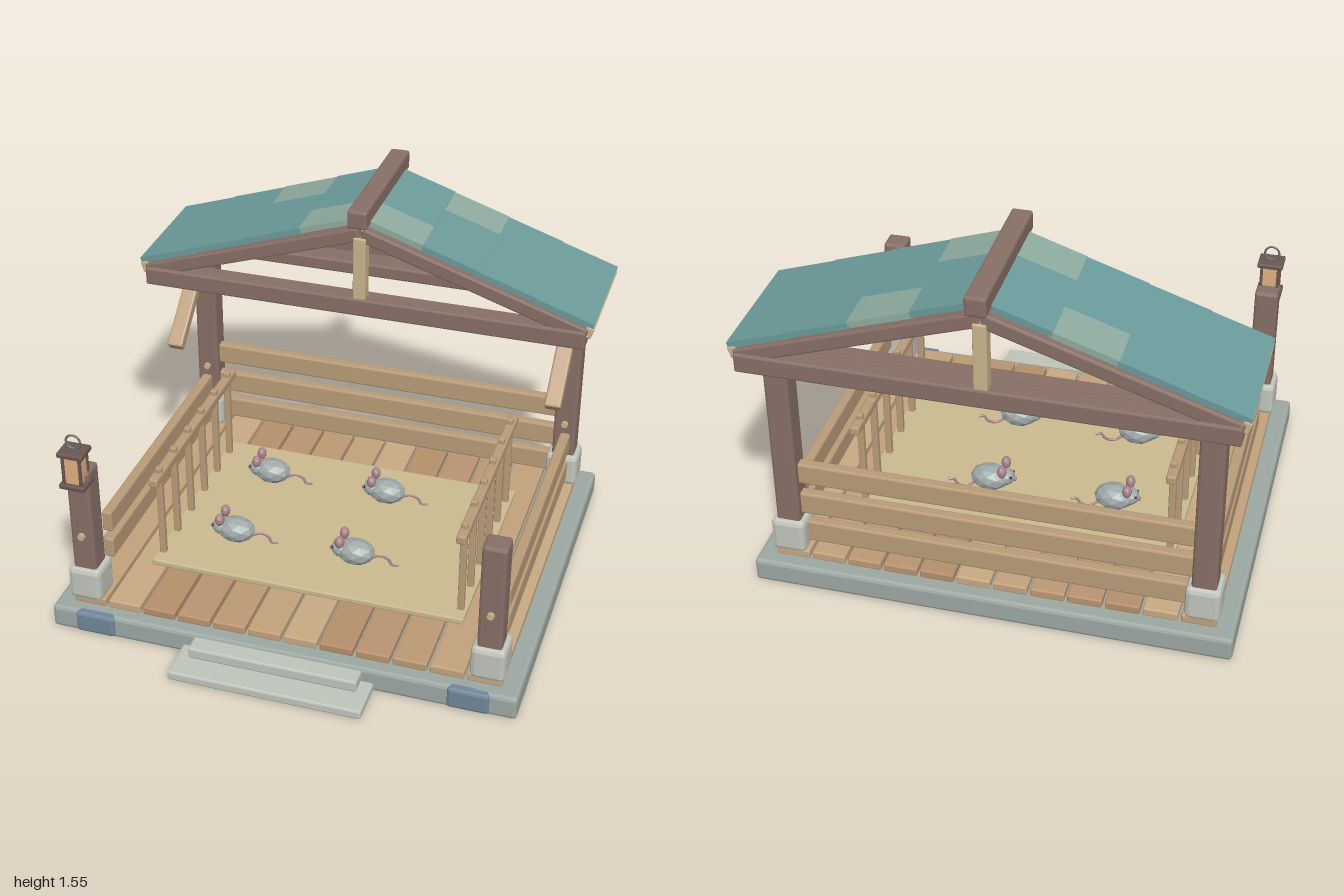
import * as THREE from 'three';
import { RoundedBoxGeometry } from 'three/addons/geometries/RoundedBoxGeometry.js';

const mats = {};
function mat(color) {
  return mats[color] ??= new THREE.MeshStandardMaterial({ color, flatShading: true });
}
const BROWN = 0x876f66, TAN = 0xb99c79, PALE = 0xcab48c, STONE = 0xc0c5bb, SLAB = 0x9da8a3;
const BLUE = 0x70879a, STRAW = 0xcaba8e, TEAL = 0x6c9b9b, SAGE = 0x8fab9f, PINK = 0xa9828a, FUR = 0x9fa9a7;
const DECK = [0xb99470, 0xc3a27c, 0xb58f6b, 0xbc9974, 0xc8a983];

export function createModel() {
  const model = new THREE.Group();

  function add(name, geo, color, x, y, z, parent = model) {
    const m = new THREE.Mesh(geo, mat(color));
    m.name = name;
    m.position.set(x, y, z);
    parent.add(m);
    return m;
  }
  // Chamfered box given by its extents along each axis
  function block(name, color, [x0, x1], [y0, y1], [z0, z1], bevel = 0.008, parent = model) {
    const w = x1 - x0, h = y1 - y0, d = z1 - z0;
    const r = Math.min(bevel, w * 0.3, h * 0.3, d * 0.3);
    return add(name, new RoundedBoxGeometry(w, h, d, 1, r), color,
      (x0 + x1) / 2, (y0 + y1) / 2, (z0 + z1) / 2, parent);
  }
  const around = (c, size) => [c - size / 2, c + size / 2];

  // Foundation, steps and corner stones
  block('foundation', SLAB, [-0.985, 0.985], [0.005, 0.107], [-0.885, 0.775], 0.015);
  block('lowerStep', STONE, [-0.405, 0.405], [0.005, 0.045], [0.76, 0.955]);
  block('upperStep', STONE, [-0.355, 0.355], [0.045, 0.095], [0.76, 0.85]);
  for (const s of [-1, 1])
    block('cornerStone', BLUE, around(s * 0.79, 0.17), [0.013, 0.107], [0.74, 0.787], 0.012);

  // Deck planks and straw mat
  const pitch = 1.83 / 12;
  for (let i = 0; i < 12; i++)
    block('deckPlank', DECK[(i * 3 + 1) % 5], around(-0.915 + pitch * (i + 0.5), pitch - 0.012),
      [0.105, 0.142], [-0.82, 0.713], 0.006);
  block('strawMat', STRAW, [-0.68, 0.68], [0.14, 0.168], [-0.54, 0.43], 0.006);

  for (const s of [-1, 1]) {
    // Posts on stone feet, each with a peg on its front
    for (const [z, top] of [[0.663, 0.76], [-0.763, 1.06]]) {
      block('post', BROWN, around(s * 0.85, 0.1), [0.2, top], around(z, 0.1), 0.012);
      block('postFoot', STONE, around(s * 0.85, 0.142), [0.138, 0.288], around(z, 0.142), 0.02);
      const peg = add('peg', new THREE.CylinderGeometry(0.015, 0.015, 0.03, 8), PALE, s * 0.85, 0.45, z + 0.05);
      peg.rotation.x = Math.PI / 2;
    }
    // Side rails
    for (const y of [[0.172, 0.265], [0.305, 0.4]])
      block('sideRail', TAN, around(s * 0.855, 0.045), y, [-0.72, 0.47]);

    // Inner baluster fence
    block('fenceRail', TAN, around(s * 0.655, 0.042), [0.535, 0.575], [-0.525, 0.425]);
    for (let i = 0; i < 6; i++)
      block('baluster', TAN, around(s * 0.653, 0.028), [0.14, 0.597], around(0.355 - i * 0.161, 0.028), 0.005);

    // Diagonal brace from back post to the roof overhang
    const dy = 0.325, dz = 0.375;
    const brace = add('brace', new RoundedBoxGeometry(0.07, 0.05, Math.hypot(dy, dz), 1, 0.008),
      TAN, s * 0.85, 0.913, -0.53);
    brace.rotation.x = Math.atan2(dy, dz);
  }

  // Back rails
  for (const y of [[0.172, 0.27], [0.31, 0.41], [0.46, 0.555]])
    block('backRail', TAN, [-0.81, 0.81], y, around(-0.763, 0.045));

  // Roof frame
  block('wallPlate', BROWN, [-0.9, 0.9], [1.045, 1.105], around(-0.763, 0.11));
  block('ridgeBeam', BROWN, around(0, 0.084), [1.478, 1.56], [-0.955, -0.293], 0.01);
  const rafterSlope = Math.atan(0.33);
  for (const [z, out] of [[-0.368, 1], [-0.872, -1]]) {
    block('tieBeam', BROWN, [-0.965, 0.965], [1.06, 1.14], around(z, 0.09));
    block('kingPost', PALE, around(0, 0.055), [1.12, 1.42], around(z + out * 0.008, 0.06), 0.006);
    for (const s of [-1, 1]) {
      const rafter = add('rafter', new RoundedBoxGeometry(1.01, 0.062, 0.06, 1, 0.008),
        BROWN, s * 0.485, 1.274, z);
      rafter.rotation.z = -s * rafterSlope;
    }
  }

  // Roof boards: four stepped courses per side, three tiles deep, some paler
  for (const s of [-1, 1]) {
    for (let i = 0; i < 4; i++) {
      const course = new THREE.Group();
      course.name = 'roofCourse';
      const x = 0.138 + i * 0.243;
      course.position.set(s * x, 1.499 - 0.345 * x, -0.62);
      course.rotation.z = -s * 0.32;
      model.add(course);
      for (let k = 0; k < 3; k++) {
        const pale = (i === 0 && k === 2) || (i === 1 && k === 0);
        add('roofTile', new THREE.BoxGeometry(0.265, 0.026, 0.18), pale ? SAGE : TEAL, 0, 0, (k - 1) * 0.18, course);
      }
    }
    const eave = block('eaveBoard', PALE, around(s * 0.972, 0.036), [1.105, 1.158], [-0.893, -0.347], 0.006);
    eave.rotation.z = -s * 0.32;
  }

  // Lantern hung on the front right post
  const lantern = new THREE.Group();
  lantern.name = 'lantern';
  lantern.position.set(-0.85, 0, 0.717);
  model.add(lantern);
  block('lanternBase', 0x6a5752, around(0, 0.11), [0.705, 0.727], around(0, 0.1), 0.006, lantern);
  block('lanternGlass', 0xe0b083, around(0, 0.07), [0.725, 0.86], around(0, 0.066), 0.004, lantern);
  block('lanternCap', 0x6a5752, around(0, 0.11), [0.852, 0.874], around(0, 0.1), 0.006, lantern);
  for (const x of [-0.036, 0.036])
    for (const z of [-0.034, 0.034])
      block('lanternBar', 0x6a5752, around(x, 0.012), [0.72, 0.86], around(z, 0.012), 0.002, lantern);
  add('lanternRing', new THREE.TorusGeometry(0.031, 0.005, 6, 16), 0x6b6f70, 0, 0.907, 0, lantern);

  // Mice facing the right, tails trailing behind
  const tailPath = new THREE.CatmullRomCurve3([
    [0.06, -0.03, 0], [0.1, -0.036, -0.045], [0.14, -0.04, -0.035], [0.165, -0.042, -0.005], [0.19, -0.043, -0.012],
  ].map(p => new THREE.Vector3(...p)));
  for (const x of [-0.385, 0.15]) {
    for (const z of [-0.27, 0.2]) {
      const mouse = new THREE.Group();
      mouse.name = 'mouse';
      mouse.position.set(x, 0.235, z);
      model.add(mouse);
      const ball = (name, color, r, px, py, pz, sx, sy, sz, detail = 1) =>
        add(name, new THREE.IcosahedronGeometry(r, detail), color, px, py, pz, mouse).scale.set(sx, sy, sz);
      ball('body', FUR, 0.065, 0.005, 0, 0, 1.3, 0.85, 1);
      ball('head', FUR, 0.042, -0.058, 0.008, 0.005, 1, 0.9, 1);
      ball('nose', PINK, 0.012, -0.098, 0.002, 0.005, 1, 1, 1, 0);
      for (const s of [-1, 1]) {
        ball('ear', PINK, 0.026, -0.055, 0.058, s * 0.036, 0.8, 1.1, 0.9);
        ball('eye', 0x333333, 0.007, -0.088, 0.02, 0.005 + s * 0.022, 1, 1, 1, 0);
      }
      add('tail', new THREE.TubeGeometry(tailPath, 16, 0.006, 6), PINK, 0, 0, 0, mouse);
    }
  }
  return model;
}
